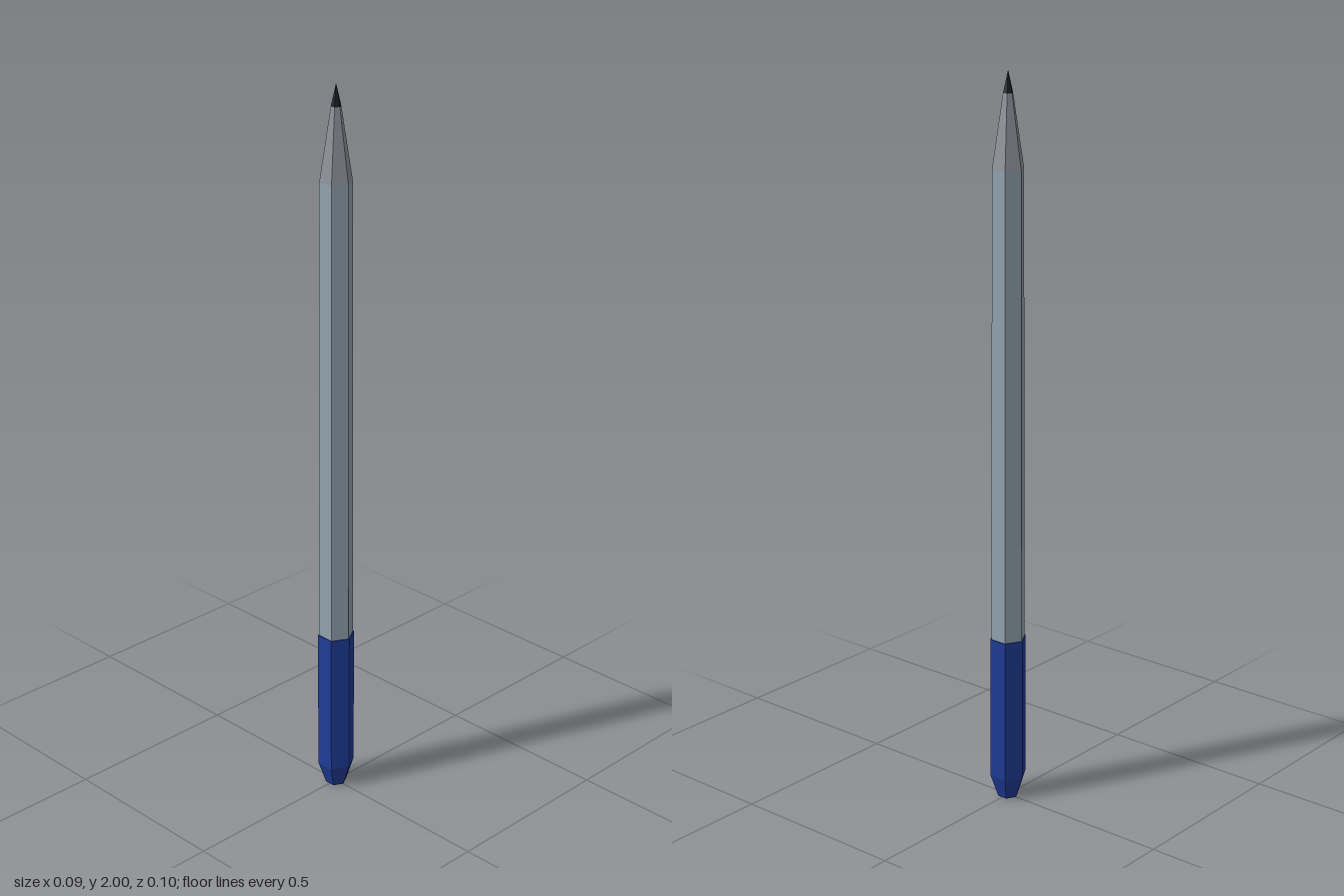
import * as THREE from 'three';

const paint = (color) => new THREE.MeshStandardMaterial({ color, flatShading: true });

export function createModel() {
  const pencil = new THREE.Group();
  pencil.name = 'pencil';

  const blue = paint(0x1f3c98);
  const grey = paint(0x93a4b0);
  const wood = paint(0x8f929b);
  const lead = paint(0x1c1e22);

  // Six-sided section from y0 (radius r0) up to y1 (radius r1), corners on +z and -z
  function section(name, material, y0, r0, y1, r1, open = false) {
    const geometry = new THREE.CylinderGeometry(r1, r0, y1 - y0, 6, 1, open);
    const mesh = new THREE.Mesh(geometry, material);
    mesh.name = name;
    mesh.position.y = (y0 + y1) / 2;
    pencil.add(mesh);
  }

  // Blue cap with a chamfered end
  section('capEnd', blue, 0, 0.029, 0.065, 0.051);
  section('capSleeve', blue, 0.065, 0.051, 0.47, 0.051);

  // Slightly tapered shaft
  section('shaft', grey, 0.47, 0.0475, 1.75, 0.0435, true);

  // Sharpened end and point
  section('sharpenedCone', wood, 1.75, 0.0435, 1.942, 0.0135, true);
  section('leadPoint', lead, 1.942, 0.0135, 2, 0, true);

  return pencil;
}
